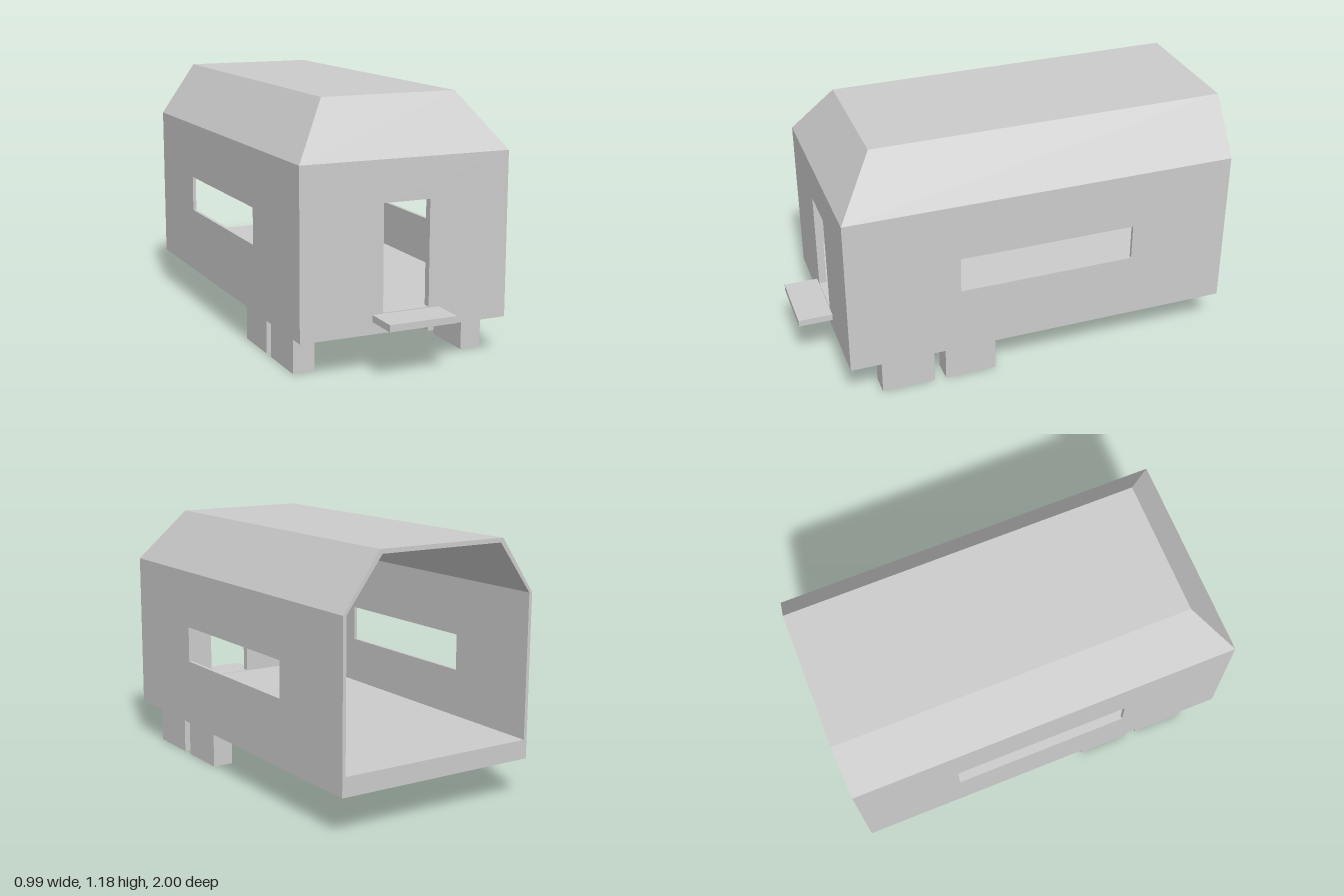
import * as THREE from 'three';

const grey = new THREE.MeshStandardMaterial({ color: 0xcccccc });
grey.name = 'plain grey';

const BACK = -1, FRONT = 0.84, HALF = 0.495;
const BASE = 0.18, FLOOR = 0.268, EAVE = 0.93;
const SIDE_T = 0.016, FRONT_T = 0.035;

function add(parent, name, geometry) {
  const mesh = new THREE.Mesh(geometry, grey);
  mesh.name = name;
  parent.add(mesh);
  return mesh;
}

// Box given by its limits on each axis
function box(x0, x1, y0, y1, z0, z1) {
  return new THREE.BoxGeometry(x1 - x0, y1 - y0, z1 - z0)
    .translate((x0 + x1) / 2, (y0 + y1) / 2, (z0 + z1) / 2);
}

function rect(path, u0, u1, v0, v1) {
  path.moveTo(u0, v0);
  path.lineTo(u1, v0);
  path.lineTo(u1, v1);
  path.lineTo(u0, v1);
  path.closePath();
  return path;
}

// Flat panel with one rectangular opening, extruded along +z
function panel(outer, hole, depth) {
  const shape = rect(new THREE.Shape(), ...outer);
  shape.holes.push(rect(new THREE.Path(), ...hole));
  return new THREE.ExtrudeGeometry(shape, { depth, bevelEnabled: false });
}

// Eave line and top line of a roof skin, each running round from back to back
function roofLines(eaveX, eaveZ, topX, topY, topZ) {
  const line = (x, y, z) => [[x, y, BACK], [x, y, z], [-x, y, z], [-x, y, BACK]];
  return { eave: line(eaveX, EAVE, eaveZ), top: line(topX, topY, topZ) };
}

function roofGeometry() {
  const out = roofLines(HALF, FRONT, 0.32, 1.18, 0.665);
  const inn = roofLines(HALF - SIDE_T, FRONT - FRONT_T, 0.308, 1.16, 0.64);
  const pos = [];
  const quad = (a, b, c, d) => pos.push(...a, ...b, ...c, ...a, ...c, ...d);
  for (let i = 0; i < 3; i++) {
    quad(out.eave[i + 1], out.eave[i], out.top[i], out.top[i + 1]); // outer slope
    quad(inn.eave[i], inn.eave[i + 1], inn.top[i + 1], inn.top[i]); // inner slope
    quad(out.eave[i], out.eave[i + 1], inn.eave[i + 1], inn.eave[i]); // lower rim
  }
  quad(out.top[0], out.top[3], out.top[2], out.top[1]);
  quad(inn.top[0], inn.top[1], inn.top[2], inn.top[3]);
  // Open back rim
  quad(out.eave[0], inn.eave[0], inn.top[0], out.top[0]);
  quad(out.top[0], inn.top[0], inn.top[3], out.top[3]);
  quad(out.top[3], inn.top[3], inn.eave[3], out.eave[3]);
  const g = new THREE.BufferGeometry();
  g.setAttribute('position', new THREE.Float32BufferAttribute(pos, 3));
  g.computeVertexNormals();
  return g;
}

export function createModel() {
  const model = new THREE.Group();
  model.name = 'trailerCabin';

  // Thick floor slab between the walls, open at the back
  add(model, 'floor', box(-HALF + SIDE_T, HALF - SIDE_T, BASE, FLOOR, BACK, FRONT - FRONT_T));

  // Front wall with doorway
  add(model, 'frontWall', panel([-HALF, HALF, BASE, EAVE], [-0.11, 0.11, 0.27, 0.745], FRONT_T)
    .translate(0, 0, FRONT - FRONT_T));

  for (const [side, s] of [['left', 1], ['right', -1]]) {
    // Side wall with long window; the panel's horizontal axis becomes -z
    add(model, side + 'Wall', panel([FRONT_T - FRONT, -BACK, BASE, EAVE], [-0.315, 0.52, 0.49, 0.66], SIDE_T)
      .rotateY(Math.PI / 2)
      .translate(s > 0 ? HALF - SIDE_T : -HALF, 0, 0));

    // Two block wheels per side
    [[0.44, 0.69], [0.14, 0.385]].forEach(([z0, z1], i) => {
      const x = s * 0.413;
      add(model, side + (i ? 'Rear' : 'Front') + 'Wheel', box(x - 0.05, x + 0.05, 0, BASE, z0, z1));
    });
  }

  add(model, 'roof', roofGeometry());

  // Entry step
  add(model, 'step', box(-0.16, 0.16, 0.235, 0.266, FRONT, 1));

  return model;
}
